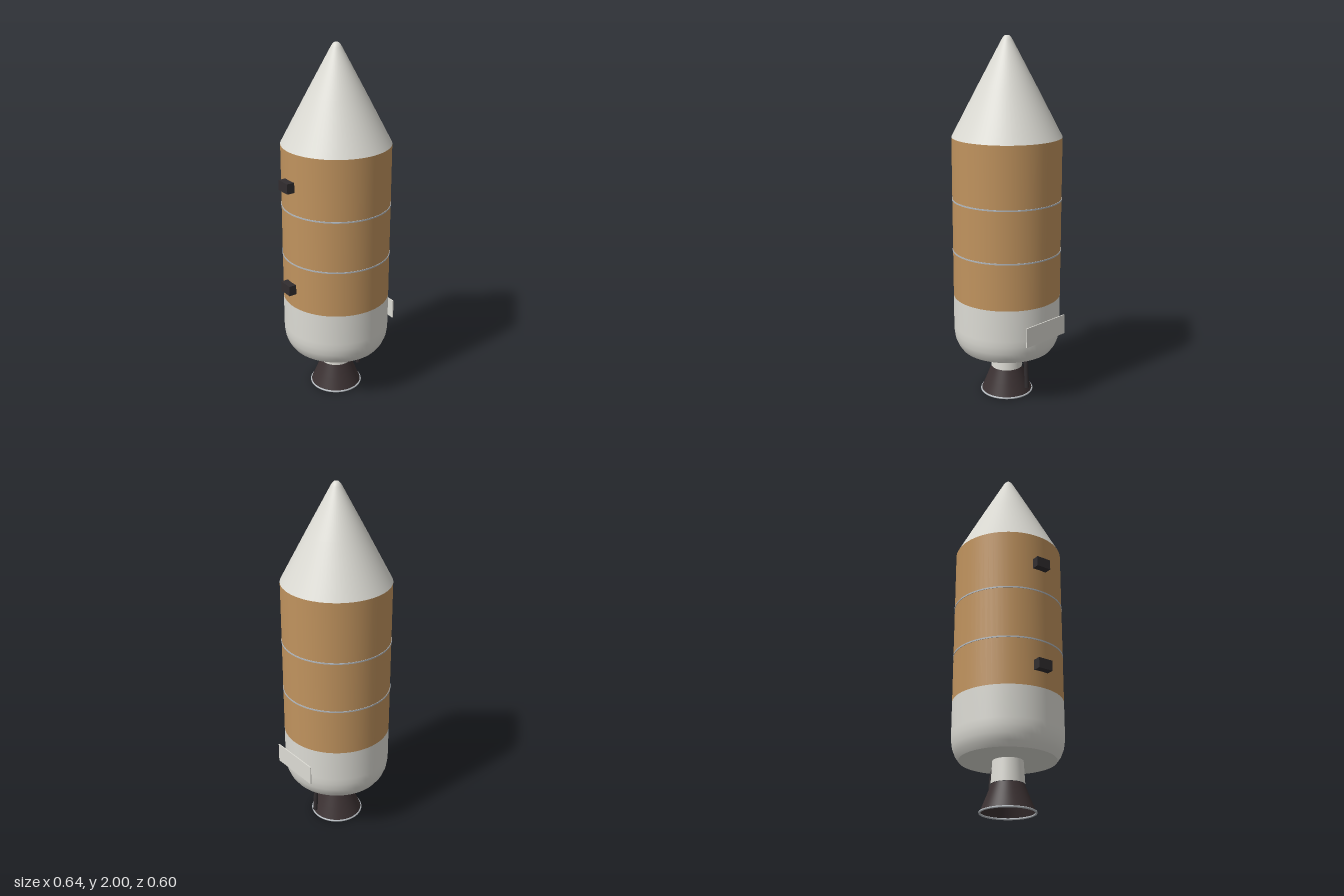
import * as THREE from 'three';

const SEGMENTS = 64;
const AXIS_X = 0.016; // side fittings shift the hull axis slightly

function material(name, color, side = THREE.FrontSide) {
  const m = new THREE.MeshStandardMaterial({ color, side });
  m.name = name;
  return m;
}

export function createModel() {
  const white = material('white paint', 0xdcdbd4);
  const tan = material('tan insulation', 0xc0935e);
  const silver = material('silver trim', 0xb4b9be);
  const nozzleDark = material('nozzle metal', 0x3b3132, THREE.DoubleSide);
  const black = material('black fittings', 0x312d2f);

  const model = new THREE.Group();
  model.name = 'rocketStage';
  const hull = new THREE.Group();
  hull.name = 'hull';
  hull.position.x = AXIS_X;
  model.add(hull);

  const add = (parent, name, geometry, mat, x = 0, y = 0, z = 0) => {
    const mesh = new THREE.Mesh(geometry, mat);
    mesh.name = name;
    mesh.position.set(x, y, z);
    parent.add(mesh);
    return mesh;
  };
  // Profiles run from bottom to top; a repeated point makes a sharp edge
  const lathe = (points) =>
    new THREE.LatheGeometry(points.map(([r, y]) => new THREE.Vector2(r, y)), SEGMENTS);

  // Rounded tank base with a flat underside
  add(hull, 'tankBase', lathe([
    [0, 0.272], [0.256, 0.272], [0.256, 0.272], [0.276, 0.300],
    [0.290, 0.335], [0.296, 0.375], [0.297, 0.41], [0.297, 0.585],
  ]), white);

  // Insulated tank wall and its seam bands
  add(hull, 'tankWall', lathe([[0.297, 0.585], [0.297, 1.47]]), tan);
  for (const y of [0.845, 1.132]) {
    add(hull, 'seamBand', lathe([
      [0.296, y - 0.004], [0.2995, y - 0.004], [0.2995, y - 0.004],
      [0.2995, y + 0.004], [0.2995, y + 0.004], [0.296, y + 0.004],
    ]), silver);
  }

  // Nose cone with a blunt tip
  add(hull, 'noseCone', lathe([
    [0.297, 1.47], [0.158, 1.735], [0.03, 1.975], [0.022, 1.988], [0.012, 1.998], [0, 2.0],
  ]), white);

  // Engine neck, open bell and rim
  add(hull, 'engineNeck', lathe([[0.089, 0.15], [0.081, 0.274]]), white);
  add(hull, 'engineBell', lathe([
    [0.143, 0.008], [0.115, 0.077], [0.086, 0.15], [0.086, 0.15], [0, 0.152],
  ]), nozzleDark);
  const rim = new THREE.TorusGeometry(0.1435, 0.0055, 8, SEGMENTS);
  rim.rotateX(Math.PI / 2);
  add(hull, 'bellRim', rim, silver, 0, 0.0055);

  // Bent exhaust pipe beside the engine
  const bend = new THREE.CurvePath();
  const p = [[0.135, 0.285], [0.164, 0.22], [0.170, 0.19], [0.178, 0.06]]
    .map(([x, y]) => new THREE.Vector3(x, y, 0));
  bend.add(new THREE.LineCurve3(p[0], p[1]));
  bend.add(new THREE.QuadraticBezierCurve3(p[1], new THREE.Vector3(0.169, 0.208, 0), p[2]));
  bend.add(new THREE.LineCurve3(p[2], p[3]));
  add(model, 'exhaustPipe', new THREE.TubeGeometry(bend, 24, 0.013, 12), black);
  const pipeEnd = new THREE.CircleGeometry(0.013, 12);
  pipeEnd.rotateX(Math.PI / 2);
  add(model, 'pipeEnd', pipeEnd, black, 0.178, 0.06);

  // Attachment blocks on the right flank
  for (const y of [0.70, 1.288]) {
    add(model, 'attachmentBlock', new THREE.BoxGeometry(0.06, 0.056, 0.084), black, -0.291, y, 0);
  }

  // Flat panel on the left flank
  add(model, 'sidePanel', new THREE.BoxGeometry(0.006, 0.11, 0.298), white, 0.3165, 0.442, 0);

  return model;
}
